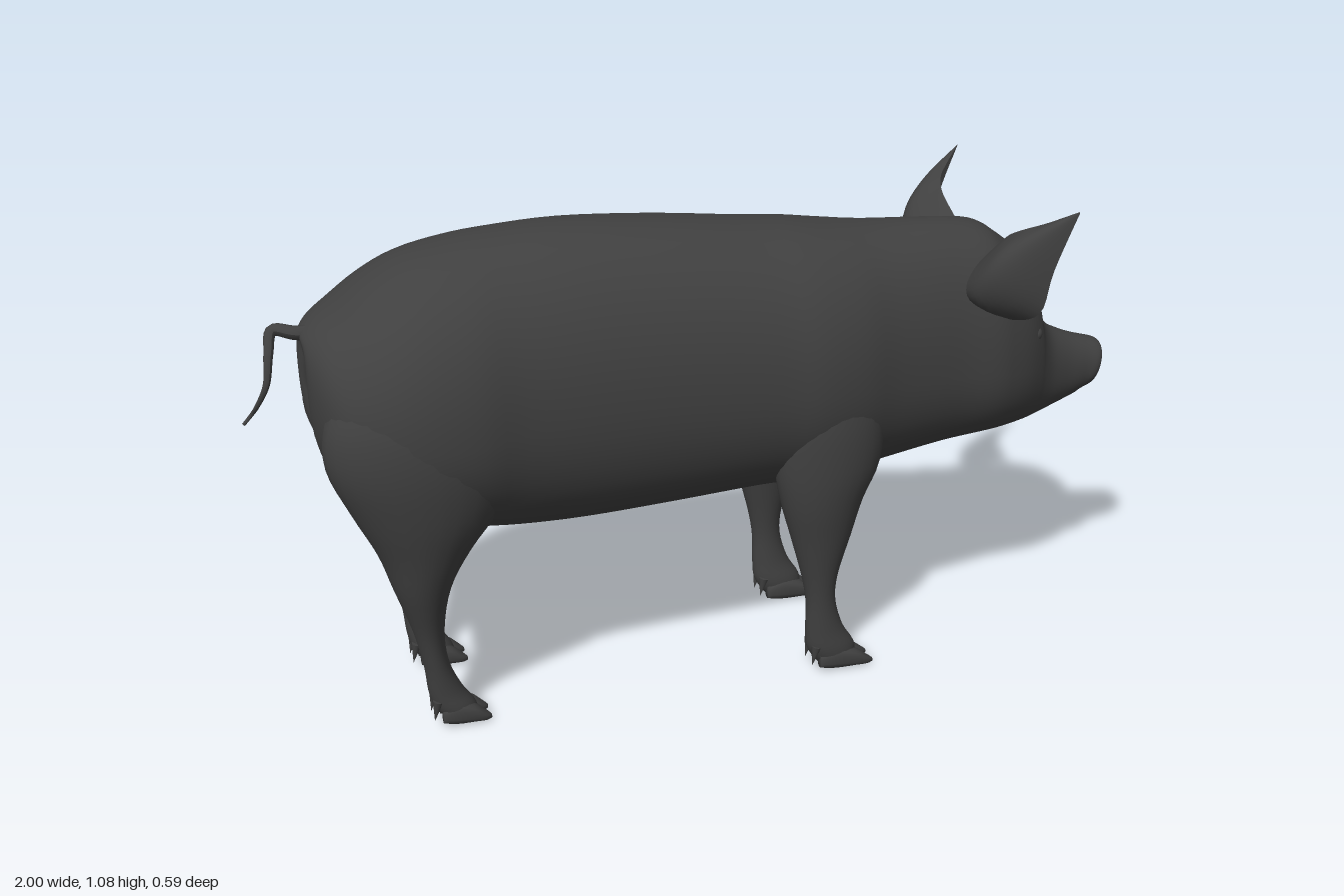
import * as THREE from 'three';

const skin = new THREE.MeshStandardMaterial({ color: 0x404040 });
const earSkin = new THREE.MeshStandardMaterial({ color: 0x404040, side: THREE.DoubleSide });
const V = (x, y, z) => new THREE.Vector3(x, y, z);

// Catmull-Rom interpolation of rows of numbers
function refine(rows, steps) {
  const out = [], n = rows.length - 1;
  for (let k = 0; k <= n * steps; k++) {
    const i = Math.min(Math.floor(k / steps), n - 1), t = k / steps - i;
    const [a, b, c, d] = [i - 1, i, i + 1, i + 2].map(q => rows[Math.max(0, Math.min(n, q))]);
    out.push(b.map((_, j) => 0.5 * (2 * b[j] + (c[j] - a[j]) * t
      + (2 * a[j] - 5 * b[j] + 4 * c[j] - d[j]) * t * t
      + (3 * b[j] - a[j] - 3 * c[j] + d[j]) * t ** 3)));
  }
  return out;
}

// Closed skin over a list of rings, capped at both ends
function loft(rings) {
  const m = rings[0].length, pts = rings.flat(), idx = [];
  for (let i = 0; i < rings.length - 1; i++) {
    for (let j = 0; j < m; j++) {
      const a = i * m + j, b = i * m + (j + 1) % m;
      idx.push(a, b, a + m, b, b + m, a + m);
    }
  }
  for (const end of [0, rings.length - 1]) {
    const c = V(0, 0, 0);
    rings[end].forEach(p => c.addScaledVector(p, 1 / m));
    const ci = pts.push(c) - 1;
    for (let j = 0; j < m; j++) {
      const a = end * m + j, b = end * m + (j + 1) % m;
      if (end) idx.push(a, b, ci); else idx.push(b, a, ci);
    }
  }
  const g = new THREE.BufferGeometry().setFromPoints(pts);
  g.setIndex(idx);
  g.computeVertexNormals();
  return g;
}

const ring = (n, f) => Array.from({ length: n }, (_, j) => f((j / n) * Math.PI * 2));
const power = (v, e) => Math.sign(v) * Math.abs(v) ** e;

// Trunk, neck, head and snout: x, bottom, top, half width, height of widest point (0..1)
const BODY = [
  [-0.872, 0.74, 0.89, 0.05, 0.5], [-0.865, 0.68, 0.907, 0.11, 0.5], [-0.84, 0.61, 0.93, 0.18, 0.5],
  [-0.8, 0.55, 0.957, 0.23, 0.47], [-0.73, 0.5, 1.005, 0.267, 0.45], [-0.65, 0.465, 1.045, 0.284, 0.43],
  [-0.55, 0.447, 1.068, 0.282, 0.43], [-0.45, 0.43, 1.08, 0.262, 0.45], [-0.3, 0.422, 1.086, 0.252, 0.47],
  [-0.1, 0.427, 1.073, 0.247, 0.48], [0.1, 0.438, 1.05, 0.249, 0.47], [0.2, 0.44, 1.04, 0.257, 0.46],
  [0.3, 0.447, 1.026, 0.245, 0.45], [0.4, 0.457, 1.015, 0.215, 0.43], [0.55, 0.475, 1.007, 0.185, 0.4],
  [0.65, 0.485, 0.995, 0.179, 0.38], [0.7, 0.488, 0.967, 0.167, 0.38], [0.75, 0.492, 0.925, 0.147, 0.4],
  [0.79, 0.496, 0.86, 0.122, 0.42], [0.815, 0.501, 0.78, 0.102, 0.45], [0.85, 0.509, 0.728, 0.08, 0.46],
  [0.9, 0.523, 0.7, 0.061, 0.48], [0.95, 0.541, 0.682, 0.053, 0.5], [0.985, 0.552, 0.671, 0.053, 0.5],
  [0.998, 0.561, 0.663, 0.047, 0.5], [0.996, 0.572, 0.652, 0.038, 0.5],
];

function bodyGeometry() {
  return loft(refine(BODY, 4).map(([x, lo, hi, w, f]) => ring(48, a => {
    const mid = lo + (hi - lo) * f, c = Math.cos(a);
    const y = mid + power(c, 0.94) * (c > 0 ? hi - mid : mid - lo);
    const z = w * power(Math.sin(a), 0.9);
    // cleft between the hams, lean of the snout disc
    const rear = THREE.MathUtils.smoothstep(-x, 0.76, 0.87) * THREE.MathUtils.smoothstep(-y, -0.9, -0.84);
    const lean = THREE.MathUtils.smoothstep(x, 0.93, 0.99) * (y - 0.655) * 0.22;
    return V(x + 0.045 * rear * Math.exp(-((z / 0.04) ** 2)) + lean, y, z);
  })));
}

// Legs from top to ankle: y, x back, x front, z inner, z outer
const HIND = [
  [0.86, -0.8, -0.55, 0.08, 0.23], [0.76, -0.85, -0.48, 0.05, 0.272], [0.66, -0.856, -0.45, 0.035, 0.283],
  [0.55, -0.812, -0.49, 0.045, 0.27], [0.45, -0.765, -0.565, 0.065, 0.245], [0.36, -0.737, -0.613, 0.08, 0.22],
  [0.25, -0.702, -0.633, 0.097, 0.186], [0.16, -0.683, -0.627, 0.103, 0.172], [0.09, -0.676, -0.6, 0.1, 0.168],
  [0.05, -0.665, -0.575, 0.095, 0.17], [0.02, -0.645, -0.565, 0.098, 0.167],
];
const FORE = [
  [0.76, 0.15, 0.32, 0.12, 0.23], [0.64, 0.12, 0.36, 0.11, 0.252], [0.53, 0.115, 0.36, 0.1, 0.255],
  [0.44, 0.13, 0.322, 0.108, 0.247], [0.35, 0.155, 0.296, 0.125, 0.232], [0.25, 0.182, 0.267, 0.143, 0.217],
  [0.18, 0.194, 0.264, 0.15, 0.211], [0.11, 0.195, 0.285, 0.147, 0.211], [0.06, 0.2, 0.315, 0.14, 0.214],
  [0.02, 0.225, 0.32, 0.142, 0.21],
];
const legGeometry = (rows, side) => loft(refine(rows, 4).map(([y, x0, x1, z0, z1]) => ring(28, a =>
  V((x0 + x1) / 2 + Math.cos(a) * (x1 - x0) / 2, y, side * (z0 + z1) / 2 + Math.sin(a) * (z1 - z0) / 2))));

// Toe from heel to tip: x, bottom, top, half width
const TOE = [[0, 0.012, 0.045, 0.012], [0.03, 0.006, 0.062, 0.021], [0.07, 0.005, 0.048, 0.022],
  [0.095, 0.005, 0.026, 0.017], [0.108, 0.006, 0.014, 0.006]];
const toeGeometry = () => loft(refine(TOE, 3).map(([x, lo, hi, w]) => ring(14, a =>
  V(x, (lo + hi) / 2 + power(Math.cos(a), 0.7) * (hi - lo) / 2, w * Math.sin(a)))));

// Ear edges from base to tip: inner edge, hollow back, outer edge
const EAR = [
  [[0.66, 0.97, 0.11], [0.57, 0.88, 0.13], [0.64, 0.84, 0.15]],
  [[0.655, 1.01, 0.17], [0.566, 0.9, 0.19], [0.65, 0.827, 0.21]],
  [[0.67, 1.035, 0.215], [0.59, 0.95, 0.238], [0.685, 0.86, 0.275]],
  [[0.7, 1.055, 0.25], [0.65, 1.015, 0.268], [0.702, 0.96, 0.291]],
  [[0.75, 1.088, 0.295], [0.748, 1.086, 0.295], [0.75, 1.086, 0.296]],
];
function earGeometry(side) {
  const rows = refine(EAR.map(r => r.flat()), 5), n = 12;
  const g = new THREE.PlaneGeometry(1, 1, n, rows.length - 1), p = g.attributes.position;
  rows.forEach((r, i) => {
    for (let j = 0; j <= n; j++) {
      const t = j / n, k = [(1 - t) * (1 - 2 * t), 4 * t * (1 - t), t * (2 * t - 1)];
      const q = [0, 1, 2].map(c => r[c] * k[0] + r[3 + c] * k[1] + r[6 + c] * k[2]);
      p.setXYZ(i * (n + 1) + j, q[0], q[1], q[2] * side);
    }
  });
  g.computeVertexNormals();
  return g;
}

// Thin curling tail, tapered towards its tip
function tailGeometry() {
  const path = new THREE.CatmullRomCurve3([V(-0.82, 0.9, 0), V(-0.875, 0.903, 0), V(-0.92, 0.908, -0.015),
    V(-0.934, 0.87, 0.015), V(-0.945, 0.81, 0.03), V(-0.965, 0.76, 0.012), V(-0.98, 0.73, -0.008), V(-0.998, 0.714, 0)]);
  const n = 48, g = new THREE.TubeGeometry(path, n, 0.018, 10), p = g.attributes.position, v = V(0, 0, 0);
  for (let i = 0; i < p.count; i++) {
    const t = Math.floor(i / 11) / n, c = path.getPointAt(t);
    v.fromBufferAttribute(p, i).sub(c).multiplyScalar(0.2 + 0.8 * (1 - t) ** 1.3).add(c);
    p.setXYZ(i, v.x, v.y, v.z);
  }
  g.computeVertexNormals();
  return g;
}

export function createModel() {
  const model = new THREE.Group();
  model.name = 'pig';
  const add = (name, geometry, material = skin, parent = model) => {
    const mesh = new THREE.Mesh(geometry, material);
    mesh.name = name;
    parent.add(mesh);
    return mesh;
  };
  add('body', bodyGeometry());
  add('tail', tailGeometry());

  for (const [side, label] of [[1, 'Near'], [-1, 'Far']]) {
    add('ear' + label, earGeometry(side), earSkin);

    // Eyes and nostril rims
    const eye = add('eye' + label, new THREE.SphereGeometry(0.018, 16, 12));
    eye.position.set(0.768, 0.745, side * 0.112);
    const nostril = add('nostril' + label, new THREE.TorusGeometry(0.012, 0.004, 8, 16));
    nostril.position.set(0.992, 0.613, side * 0.02);
    nostril.rotation.y = Math.PI / 2;
    nostril.scale.y = 1.4;

    // Legs with cloven hooves and dewclaws
    for (const [name, rows, x, z, size] of [['hindLeg', HIND, -0.65, 0.131, 1], ['frontLeg', FORE, 0.225, 0.175, 1.22]]) {
      const leg = new THREE.Group();
      leg.name = name + label;
      model.add(leg);
      add('limb', legGeometry(rows, side), skin, leg);
      for (const s of [-1, 1]) {
        const toe = add('toe', toeGeometry(), skin, leg);
        toe.position.set(x, 0, side * z + s * 0.021);
        toe.scale.set(size, 1, 0.95);
        const claw = add('dewclaw', new THREE.ConeGeometry(0.012, 0.05, 10), skin, leg);
        claw.position.set(x - 0.014, 0.045, side * z + s * 0.022);
        claw.rotation.z = Math.PI - 0.2;
      }
    }
  }
  return model;
}
